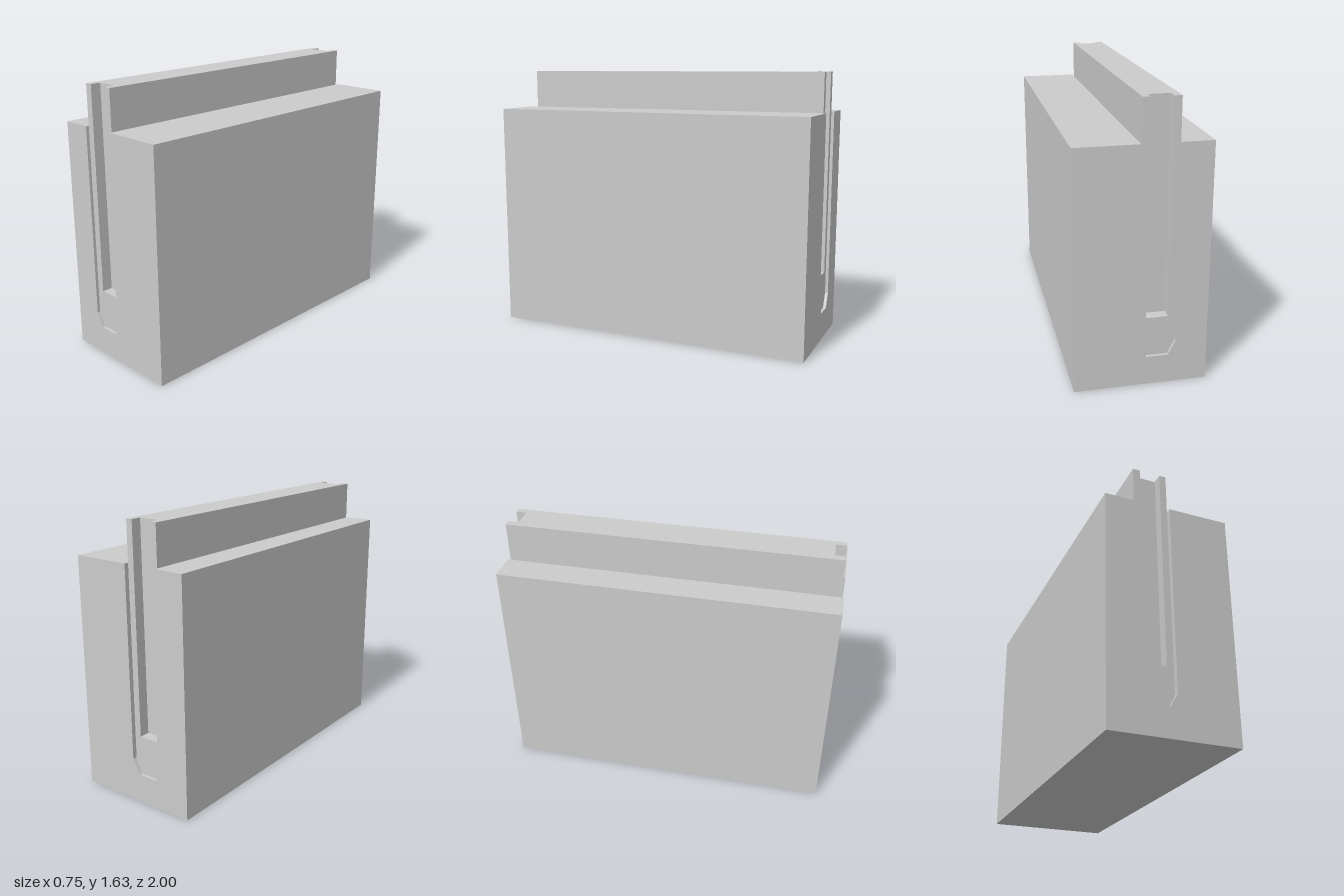
import * as THREE from 'three';

const material = new THREE.MeshStandardMaterial({ color: 0xcccccc, flatShading: true });

// Extrude an x/y outline between two z positions
function slab(name, points, z0, z1) {
  const shape = new THREE.Shape(points.map(([x, y]) => new THREE.Vector2(x, y)));
  const geometry = new THREE.ExtrudeGeometry(shape, { depth: z1 - z0, bevelEnabled: false });
  geometry.translate(0, 0, z0);
  const mesh = new THREE.Mesh(geometry, material);
  mesh.name = name;
  return mesh;
}

export function createModel() {
  const group = new THREE.Group();
  group.name = 'slottedBlock';

  const half = 0.377, blockTop = 1.39, plateTop = 1.627;
  const slotL = -0.197, slotR = 0.018, plateR = 0.0095;
  const notchL = -0.154, notchR = -0.03, notchFloor = 0.4;
  const slotFloor = 0.17, chamferTop = 0.254;
  const plateEnd = 0.982, notchBack = 0.92;

  // Block with a chamfered slot running its full length
  group.add(slab('block', [
    [-half, 0], [half, 0], [half, blockTop],
    [slotR, blockTop], [slotR, chamferTop], [notchR, slotFloor],
    [notchL, slotFloor], [slotL, chamferTop], [slotL, blockTop],
    [-half, blockTop],
  ], -1, 1));

  // Plate standing in the slot, slightly narrower and shorter than it
  const plate = new THREE.Group();
  plate.name = 'plate';
  const foot = [[slotL, chamferTop], [notchL, slotFloor], [notchR, slotFloor], [plateR, 0.239]];
  plate.add(slab('plateCore', [...foot, [plateR, plateTop], [slotL, plateTop]], -notchBack, notchBack));

  // Both plate ends carry a groove open at the top
  const grooved = [
    ...foot, [plateR, plateTop], [notchR, plateTop], [notchR, notchFloor],
    [notchL, notchFloor], [notchL, plateTop], [slotL, plateTop],
  ];
  plate.add(slab('frontGroove', grooved, notchBack, plateEnd));
  plate.add(slab('backGroove', grooved, -plateEnd, -notchBack));
  group.add(plate);

  return group;
}
